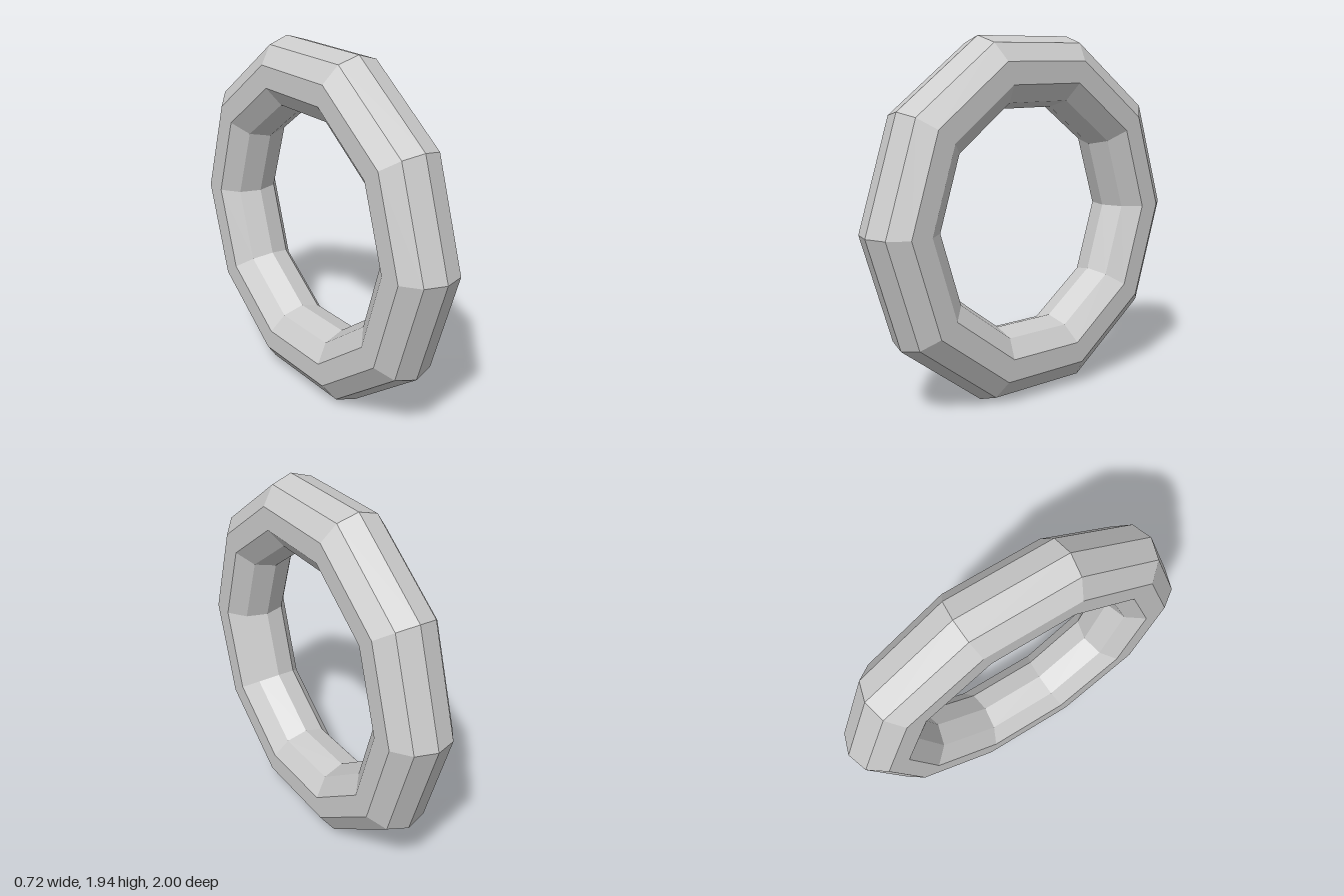
import * as THREE from 'three';

export function createModel() {
  const group = new THREE.Group();
  const material = new THREE.MeshStandardMaterial({ color: 0xcccccc, flatShading: true });

  // Ten-sided ring with a ten-sided tube
  const ringRadius = 0.82, tubeRadius = 0.2, sides = 10;
  const ring = new THREE.Mesh(new THREE.TorusGeometry(ringRadius, tubeRadius, sides, sides), material);
  ring.name = 'ring';

  // Stands upright on a flat segment, turned slightly about the vertical
  ring.rotation.y = THREE.MathUtils.degToRad(78.7);
  ring.position.y = (ringRadius + tubeRadius) * Math.sin(THREE.MathUtils.degToRad(72));
  group.add(ring);
  return group;
}
